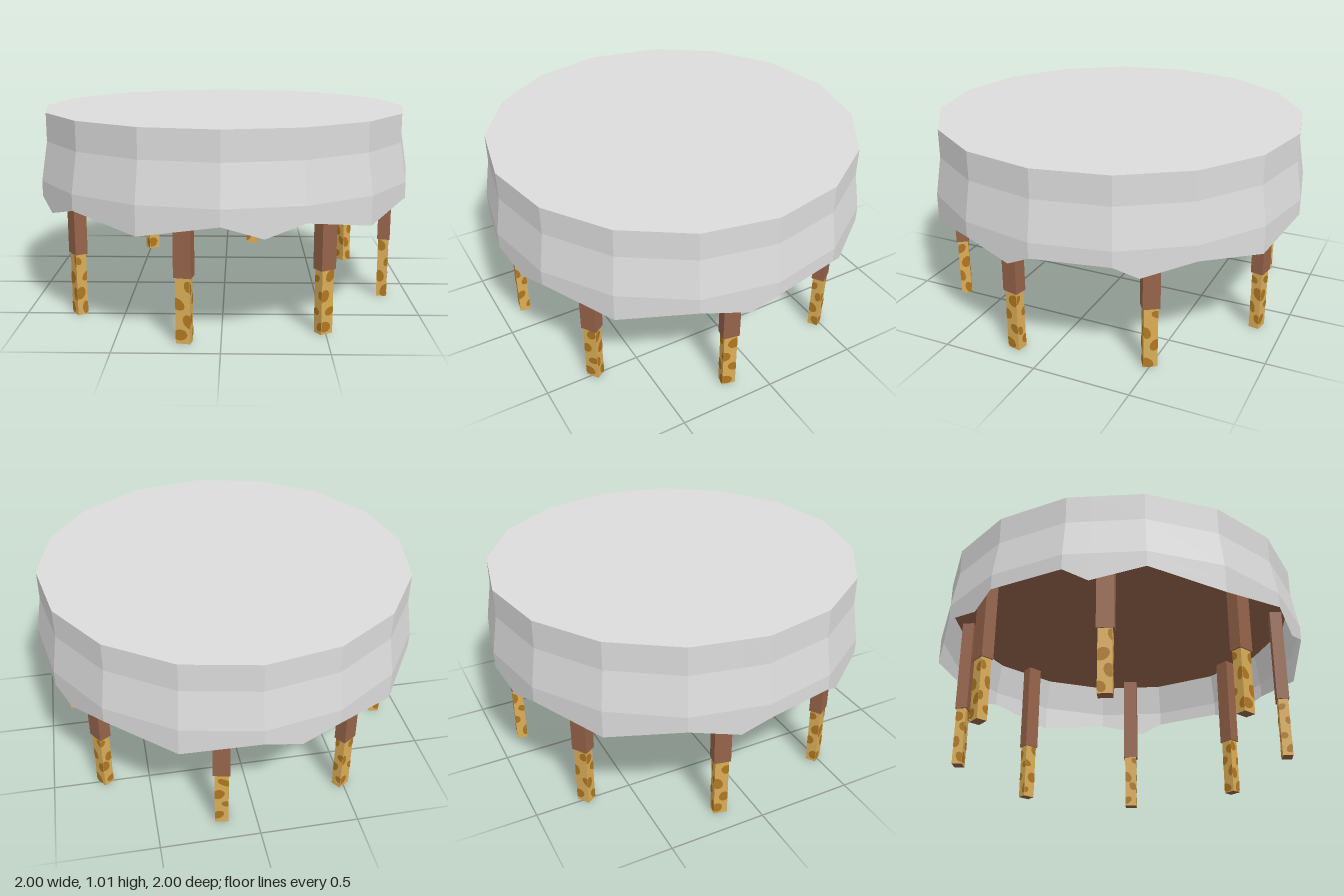
import * as THREE from 'three';

const SIDES = 16, STEP = 360 / SIDES;
const rad = THREE.MathUtils.degToRad;

const cloth = new THREE.MeshStandardMaterial({ color: 0xdcdcdc, flatShading: true, side: THREE.DoubleSide });
cloth.name = 'pale grey cloth';
const wood = new THREE.MeshStandardMaterial({ color: 0x96644a });
wood.name = 'brown wood';
const gold = new THREE.MeshStandardMaterial({ color: 0xdcae58 });
gold.name = 'light gold';
const amber = new THREE.MeshStandardMaterial({ color: 0xb07820 });
amber.name = 'dark amber';

function add(parent, name, geometry, material) {
  const mesh = new THREE.Mesh(geometry, material);
  mesh.name = name;
  parent.add(mesh);
  return mesh;
}

// small seeded generator for the blotches
function seeded(seed) {
  let s = seed;
  return () => (s = (s * 16807) % 2147483647) / 2147483647;
}

// point on the 16-sided outline; angle in degrees from +z towards +x
function onOutline(angle, r, y) {
  const local = ((angle % STEP) + STEP) % STEP - STEP / 2;
  const d = r * Math.cos(rad(STEP / 2)) / Math.cos(rad(local));
  return [d * Math.sin(rad(angle)), y, d * Math.cos(rad(angle))];
}

// hanging cloth: straight band, flare, then a hem with hanging points
function skirtGeometry() {
  const hem = [[0, 0.59], [11.5, 0.525], [22.5, 0.59], [45, 0.525], [67.5, 0.59], [82.4, 0.525],
    [90, 0.59], [112.5, 0.59], [119.6, 0.525], [135, 0.59], [157.5, 0.525]];
  const columns = [0, 180].flatMap(turn => hem.map(([a, y]) => [a + turn, y]));
  columns.push([360, 0.59]);
  const profile = ([a, y]) => [
    onOutline(a, 0.967, 1.015), onOutline(a, 0.967, 0.87),
    onOutline(a, 1, 0.67), onOutline(a, 1, 0.59), onOutline(a, 1, y)];
  const pos = [];
  for (let i = 0; i < columns.length - 1; i++) {
    const p = profile(columns[i]), q = profile(columns[i + 1]);
    for (let k = 0; k < 4; k++) {
      pos.push(...p[k], ...p[k + 1], ...q[k + 1], ...p[k], ...q[k + 1], ...q[k]);
    }
  }
  const g = new THREE.BufferGeometry();
  g.setAttribute('position', new THREE.Float32BufferAttribute(pos, 3));
  g.computeVertexNormals();
  return g;
}

// rounded blotch, cut off at the borders of a leg face
function blotchGeometry(w, h, cx, cy, rx, ry, tilt) {
  const points = [];
  for (let i = 0; i < 14; i++) {
    const t = i / 14 * Math.PI * 2;
    const x = cx + rx * Math.cos(t);
    const y = cy + ry * Math.sin(t) + tilt * Math.cos(t);
    points.push(new THREE.Vector2(
      THREE.MathUtils.clamp(x, -w / 2, w / 2),
      THREE.MathUtils.clamp(y, -h / 2, h / 2)));
  }
  return new THREE.ShapeGeometry(new THREE.Shape(points));
}

function makeLeg(index) {
  const leg = new THREE.Group();
  leg.name = 'leg';
  const W = 0.085, D = 0.065, w = 0.069, d = 0.054, joint = 0.32, top = 0.86;
  add(leg, 'upperLeg', new THREE.BoxGeometry(W, top - joint, D), wood).position.y = (top + joint) / 2;
  add(leg, 'lowerLeg', new THREE.BoxGeometry(w, joint, d),
    [gold, gold, gold, wood, gold, gold]).position.y = joint / 2;

  // blotches on the four sides of the lower leg
  const random = seeded(917 + index * 5381);
  for (let side = 0; side < 4; side++) {
    const face = new THREE.Group();
    face.name = 'blotchedSide';
    face.rotation.y = side * Math.PI / 2;
    const width = side % 2 ? d : w, depth = side % 2 ? w : d;
    for (let k = 0; k < 4; k++) {
      const edge = (k + side) % 2 ? 1 : -1;
      const g = blotchGeometry(width, joint, edge * width * (0.2 + 0.3 * random()),
        -0.12 + k * 0.08 + 0.03 * (random() - 0.5),
        width * (0.3 + 0.25 * random()), 0.018 + 0.016 * random(), 0.024 * (random() - 0.5));
      add(face, 'blotch', g, amber).position.set(0, joint / 2, depth / 2 + 0.0015);
    }
    leg.add(face);
  }
  return leg;
}

export function createModel() {
  const table = new THREE.Group();
  table.name = 'roundTable';

  // cloth
  add(table, 'clothSkirt', skirtGeometry(), cloth);
  const clothTop = add(table, 'clothTop', new THREE.CircleGeometry(0.967, SIDES), cloth);
  clothTop.rotation.x = -Math.PI / 2;
  clothTop.position.y = 1.015;

  // wooden top beneath the cloth
  add(table, 'tableTop', new THREE.CylinderGeometry(0.96, 0.96, 0.15, SIDES), wood).position.y = 0.925;

  // ring of eight legs
  for (let i = 0; i < 8; i++) {
    const a = rad(-11.25 + i * 45);
    const leg = makeLeg(i);
    leg.position.set(0.88 * Math.sin(a), 0, 0.88 * Math.cos(a));
    leg.rotation.y = a;
    table.add(leg);
  }
  return table;
}
